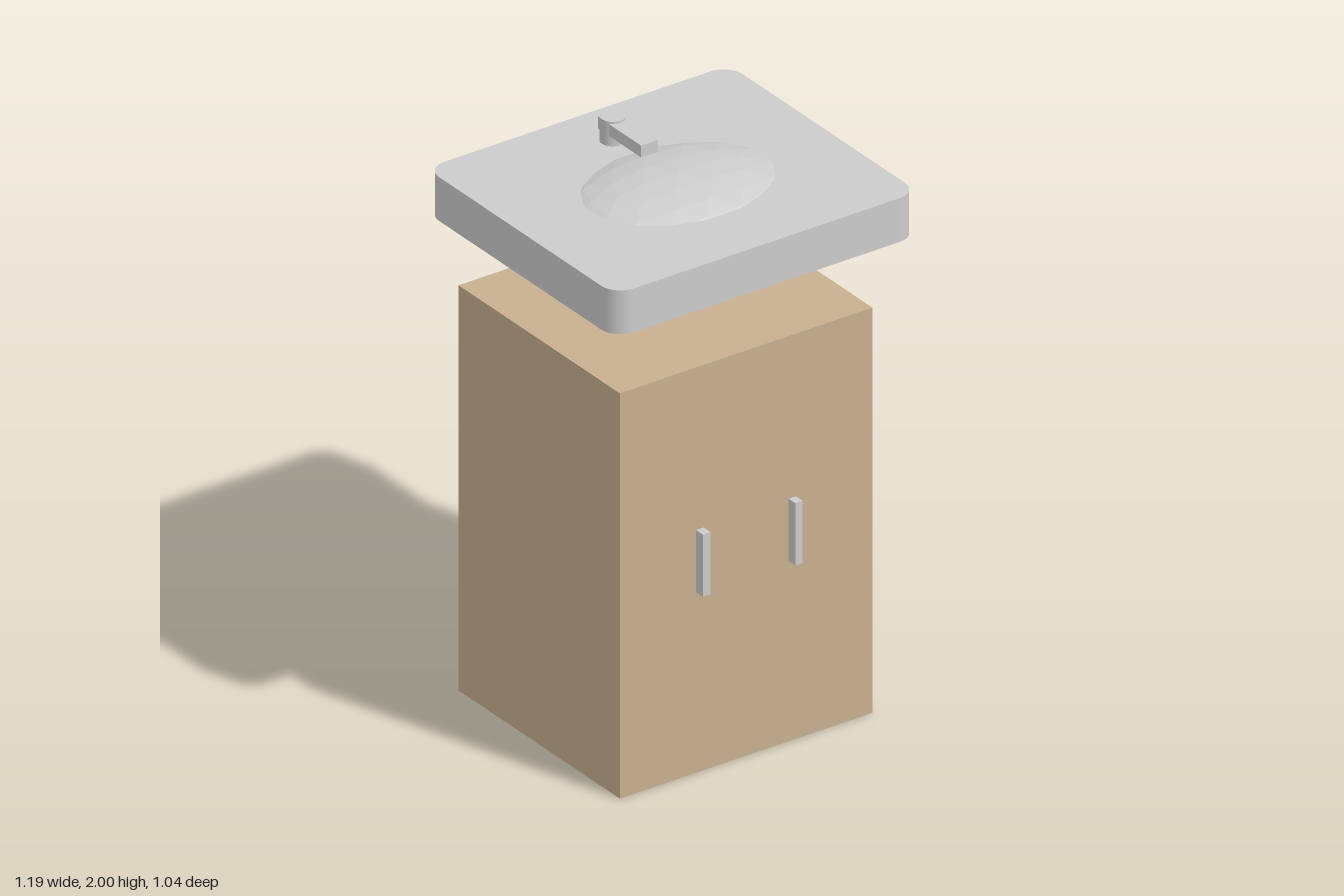
import * as THREE from 'three';

export function createModel() {
  const model = new THREE.Group();
  model.name = 'washbasinCabinet';

  const wood = new THREE.MeshStandardMaterial({ color: 0xc8b090 });
  wood.name = 'light wood';
  const grey = new THREE.MeshStandardMaterial({ color: 0xcccccc });
  grey.name = 'pale grey';

  const add = (name, geometry, material, x, y, z) => {
    const mesh = new THREE.Mesh(geometry, material);
    mesh.name = name;
    mesh.position.set(x, y, z);
    model.add(mesh);
    return mesh;
  };

  // Cabinet body
  add('cabinet', new THREE.BoxGeometry(0.99, 1.472, 0.888), wood, 0, 0.736, -0.036);

  // Pair of door handles
  for (const [name, side] of [['leftHandle', 1], ['rightHandle', -1]]) {
    add(name, new THREE.BoxGeometry(0.029, 0.226, 0.04), grey, side * 0.181, 0.768, 0.425);
  }

  // Counter slab with rounded corners, extruded upwards
  const w = 0.595, d = 0.521, r = 0.075;
  const outline = new THREE.Shape();
  outline.absarc(w - r, d - r, r, 0, Math.PI / 2);
  outline.absarc(-w + r, d - r, r, Math.PI / 2, Math.PI);
  outline.absarc(-w + r, -d + r, r, Math.PI, Math.PI * 1.5);
  outline.absarc(w - r, -d + r, r, Math.PI * 1.5, Math.PI * 2);
  outline.closePath();
  const slab = new THREE.ExtrudeGeometry(outline, { depth: 0.159, bevelEnabled: false, curveSegments: 8 });
  slab.rotateX(-Math.PI / 2);
  add('counter', slab, grey, 0, 1.752, 0);

  // Faceted bowl, a flattened ball that shows above and below the counter
  const bowl = new THREE.IcosahedronGeometry(1, 3);
  bowl.scale(0.453, 0.136, 0.337);
  bowl.computeVertexNormals();
  add('bowl', bowl, grey, 0, 1.822, 0.033);

  // Tap: upright post and flat spout reaching over the bowl
  add('tapPost', new THREE.CylinderGeometry(0.042, 0.042, 0.1, 24), grey, 0, 1.95, -0.327);
  add('tapSpout', new THREE.BoxGeometry(0.066, 0.043, 0.237), grey, 0, 1.97, -0.2425);

  return model;
}
